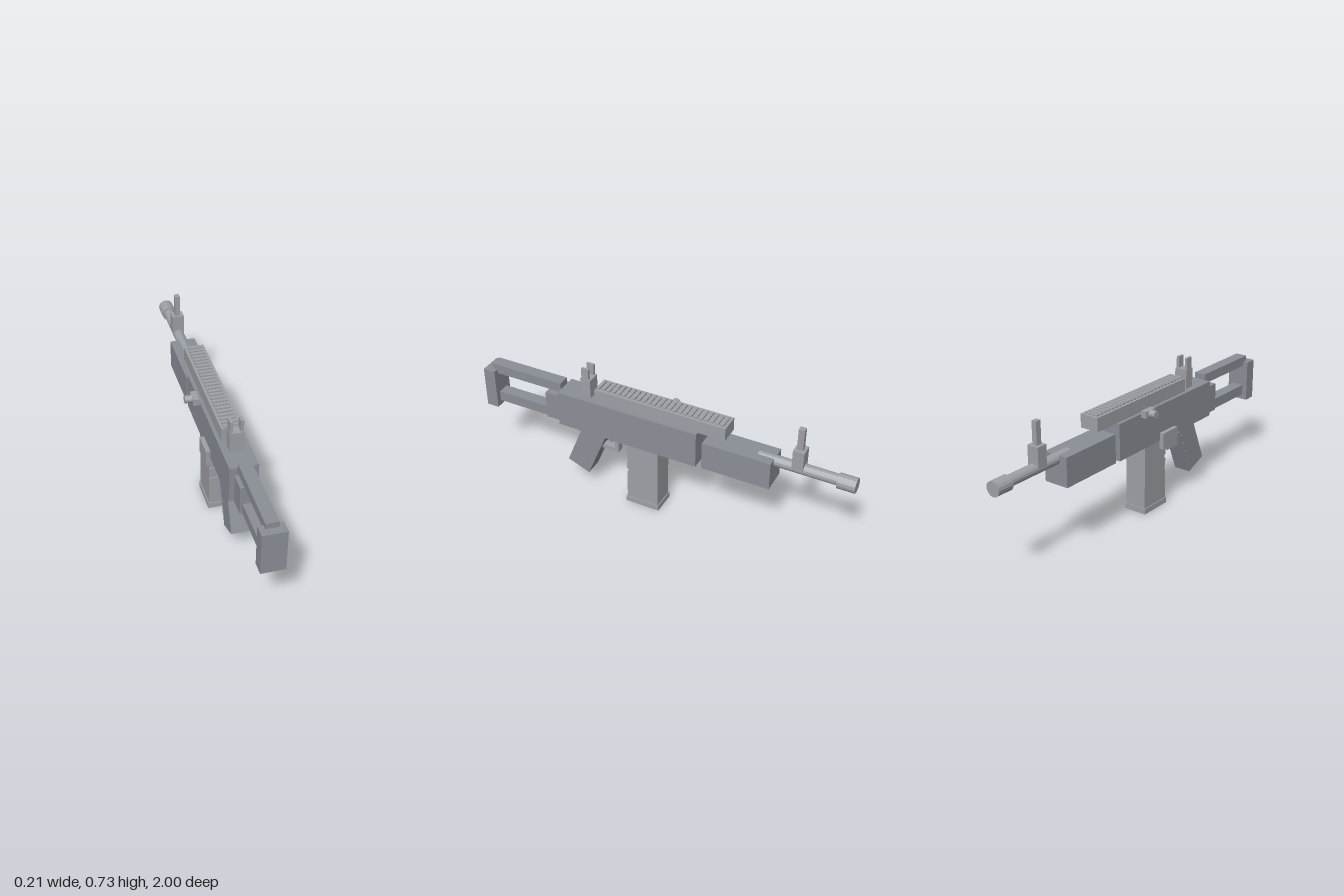
import * as THREE from 'three';

const CX = 0.032; // centre line of the body

export function createModel() {
  const model = new THREE.Group();
  const dark = new THREE.MeshStandardMaterial({ color: 0x8a8e96, flatShading: true });
  const light = new THREE.MeshStandardMaterial({ color: 0x9da0a6, flatShading: true });

  function add(name, geometry, material, parent = model) {
    const mesh = new THREE.Mesh(geometry, material);
    mesh.name = name;
    parent.add(mesh);
    return mesh;
  }

  function group(name) {
    const g = new THREE.Group();
    g.name = name;
    model.add(g);
    return g;
  }

  // Box given by its extents
  function box(name, material, x0, x1, y0, y1, z0, z1, parent) {
    const mesh = add(name, new THREE.BoxGeometry(x1 - x0, y1 - y0, z1 - z0), material, parent);
    mesh.position.set((x0 + x1) / 2, (y0 + y1) / 2, (z0 + z1) / 2);
    return mesh;
  }

  // Side profile of [z, y] points, extruded from x0 to x1
  function profile(name, material, points, x0, x1) {
    const shape = new THREE.Shape(points.map(([z, y]) => new THREE.Vector2(-z, y)));
    const geo = new THREE.ExtrudeGeometry(shape, { depth: x1 - x0, bevelEnabled: false });
    geo.rotateY(Math.PI / 2).translate(x0, 0, 0);
    return add(name, geo, material);
  }

  // Cylinder along z
  function tube(name, radius, y, z0, z1) {
    const geo = new THREE.CylinderGeometry(radius, radius, z1 - z0, 16).rotateX(Math.PI / 2);
    add(name, geo, light).position.set(CX, y, (z0 + z1) / 2);
  }

  // Body
  box('receiver', dark, -0.037, 0.102, 0.37, 0.563, -0.218, 0.55);
  box('handguard', dark, -0.035, 0.097, 0.37, 0.52, -0.6, -0.247);

  // Frame stock
  const stock = group('stock');
  box('buttPlate', dark, -0.027, 0.091, 0.343, 0.563, 0.935, 1, stock);
  box('stockTopBar', dark, 0, 0.063, 0.54, 0.592, 0.553, 0.962, stock);
  box('stockBottomBar', dark, 0, 0.063, 0.37, 0.425, 0.54, 0.94, stock);
  box('stockBlock', dark, -0.013, 0.075, 0.37, 0.52, 0.54, 0.64, stock);

  // Top rail with cross ridges
  const rail = group('topRail');
  box('railBase', light, -0.019, 0.083, 0.563, 0.633, -0.36, 0.345, rail);
  for (let i = 0; i < 25; i++) {
    const z = -0.345 + i * 0.0278;
    box('railRidge', light, -0.006, 0.07, 0.63, 0.641, z, z + 0.016, rail);
  }

  // Ribbed panel under the handguard
  const panel = group('handguardPanel');
  box('panelPlate', dark, -0.013, 0.077, 0.36, 0.372, -0.568, -0.272, panel);
  for (let i = 0; i < 12; i++) {
    const z = -0.56 + i * 0.0238;
    box('panelRib', dark, -0.004, 0.068, 0.352, 0.362, z, z + 0.014, panel);
  }

  // Barrel and muzzle
  tube('barrel', 0.028, 0.499, -0.93, -0.515);
  tube('muzzle', 0.038, 0.496, -1, -0.912);

  // Sights
  box('frontSightBase', light, 0.001, 0.063, 0.505, 0.61, -0.746, -0.69);
  box('frontSightPost', light, 0.019, 0.045, 0.6, 0.725, -0.732, -0.702);
  box('rearSightBase', light, -0.003, 0.067, 0.563, 0.665, 0.377, 0.432);
  for (const side of [-1, 1]) {
    const x = CX + side * 0.026;
    box('rearSightPost', light, x - 0.007, x + 0.007, 0.66, 0.725, 0.386, 0.426);
  }

  // Magazine with two grooves across its rear face
  const magRear = [[0.167, 0.02]];
  for (const y of [0.19, 0.252]) {
    magRear.push([0.167, y], [0.16, y], [0.16, y + 0.021], [0.167, y + 0.021]);
  }
  profile('magazine', light, [[-0.007, 0.38], [-0.007, 0.02], ...magRear, [0.167, 0.38]].reverse(), -0.027, 0.091);
  box('magazineFloor', light, -0.032, 0.096, 0, 0.03, -0.012, 0.172);

  // Slanted grip with small bars along its front edge
  profile('grip', dark, [[0.524, 0.137], [0.404, 0.088], [0.3, 0.343], [0.31, 0.38], [0.426, 0.38]], -0.015, 0.078);
  for (let i = 0; i < 4; i++) {
    const y = 0.162 + i * 0.052;
    const bar = box('gripBar', dark, -0.018, 0.081, y - 0.009, y + 0.009, -0.006, 0.006);
    bar.position.z = 0.404 - (y - 0.088) * 0.41 + 0.012;
    bar.rotation.x = -0.39;
  }

  // Trigger and its guard
  box('trigger', light, 0.02, 0.044, 0.305, 0.36, 0.28, 0.302);
  box('guardTop', light, 0.012, 0.052, 0.322, 0.34, 0.16, 0.258);
  box('guardFront', light, 0.012, 0.052, 0.262, 0.34, 0.236, 0.258);
  box('guardBottom', light, 0.012, 0.052, 0.262, 0.283, 0.24, 0.345);

  // Side handle and lever plate
  box('handleBlock', light, -0.068, -0.037, 0.545, 0.58, -0.05, 0.025);
  const knobShape = new THREE.CylinderGeometry(0.02, 0.02, 0.04, 16).rotateZ(Math.PI / 2);
  add('handleKnob', knobShape, light).position.set(-0.084, 0.563, -0.015);
  box('leverPlate', light, -0.06, -0.036, 0.327, 0.414, 0.105, 0.225);

  return model;
}
